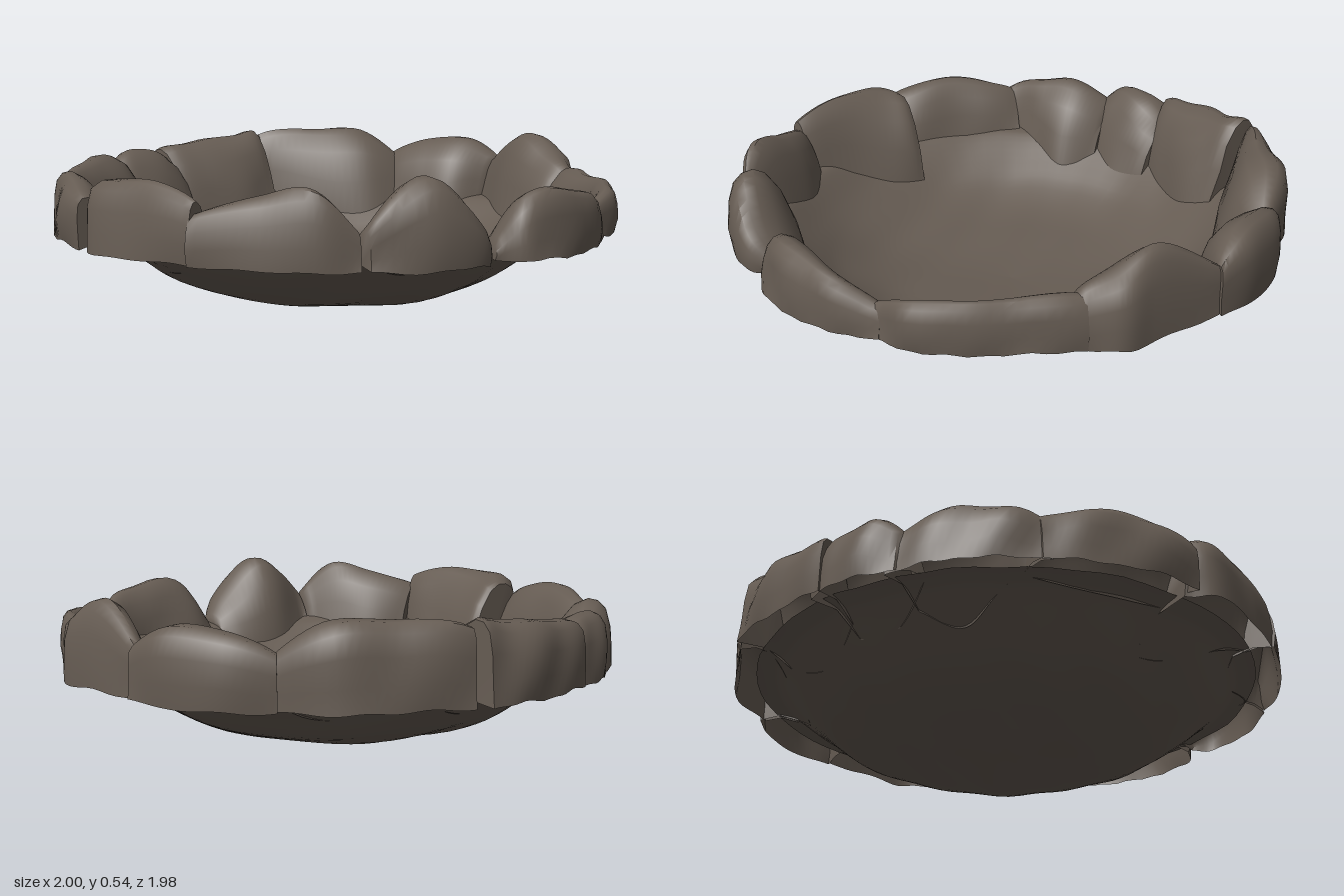
import * as THREE from 'three';
import { toCreasedNormals } from 'three/addons/utils/BufferGeometryUtils.js';

const stone = new THREE.MeshStandardMaterial({ color: 0x665c53, side: THREE.DoubleSide });
stone.name = 'brown stone';

// Bowl profile: radius, height
const RIM = 0.89;
const PROFILE = [[0, 0], [0.25, 0.014], [0.45, 0.04], [0.6, 0.098], [0.7, 0.165], [0.8, 0.243], [0.84, 0.262], [RIM, 0.27]];
function bowlY(r) {
  const i = Math.max(1, PROFILE.findIndex(([pr]) => r <= pr));
  const [r0, y0] = PROFILE[i - 1], [r1, y1] = PROFILE[i];
  return y0 + (y1 - y0) * (r - r0) / (r1 - r0);
}

// Gentle lumps that vary with position
const lump = (x, y, z) =>
  (Math.sin(11 * x + 5 * y + 1) * Math.sin(9 * z - 4 * y) + 0.6 * Math.sin(23 * x - 17 * z + 13 * y)) / 1.6;

// Sunken floor of the crater
function makeBowl() {
  const curve = new THREE.SplineCurve(PROFILE.map(([r, y]) => new THREE.Vector2(r, y)));
  const geo = new THREE.LatheGeometry(curve.getPoints(28), 72);
  const p = geo.attributes.position;
  for (let i = 0; i < p.count; i++) {
    const x = p.getX(i), z = p.getZ(i);
    const fade = Math.min(1, Math.hypot(x, z) * 3);
    p.setY(i, Math.max(0, p.getY(i) + 0.008 * fade * lump(x, 0, z)));
  }
  geo.computeVertexNormals();
  const mesh = new THREE.Mesh(geo, stone);
  mesh.name = 'craterFloor';
  return mesh;
}

// Rock section: fraction from outer to inner edge, fraction of the height
const SECTION = [[0, 0], [-0.01, 0.3], [0.02, 0.62], [0.09, 0.87], [0.21, 0.98], [0.36, 1], [0.54, 0.92], [0.73, 0.7], [0.89, 0.37], [1, 0]];

// Hollow rim rock swept between an outer edge [x, z, top height] and an inner edge [x, z]
function makeRock(outer, inner) {
  const oc = new THREE.CatmullRomCurve3(outer.map(([x, z, h]) => new THREE.Vector3(x, h, z)));
  const ic = new THREE.CatmullRomCurve3(inner.map(([x, z]) => new THREE.Vector3(x, 0, z)));
  const N = 20, K = SECTION.length;
  const pos = [], idx = [];
  for (let s = 0; s <= N; s++) {
    const o = oc.getPoint(s / N), n = ic.getPoint(s / N);
    // The inner foot always lands on the bowl
    n.multiplyScalar(Math.min(1, (RIM - 0.01) / n.length()));
    const foot = bowlY(n.length());
    const base = 0.252 + 0.008 * lump(o.x * 2, 0, o.z * 2);
    // Crests sink and narrow a little at both ends
    const end = Math.pow(Math.abs(2 * s / N - 1), 8);
    for (const [f, v] of SECTION) {
      const low = base + (foot - base) * Math.max(0, f);
      const g = f - 0.12 * end * v * f;
      const x = o.x + (n.x - o.x) * g, z = o.z + (n.z - o.z) * g;
      const y = low + (o.y - low) * v * (1 - 0.06 * end);
      const d = v > 0 ? 0.016 * lump(x, y, z) : 0, r = Math.hypot(x, z);
      pos.push(x + d * x / r, y + d * 0.5, z + d * z / r);
    }
  }
  for (let s = 0; s < N; s++) for (let k = 0; k < K - 1; k++) {
    const a = s * K + k;
    idx.push(a, a + 1, a + K, a + 1, a + K + 1, a + K);
  }
  // End caps fan out from a point resting on the bowl rim
  for (const first of [0, N * K]) {
    const c = pos.length / 3, o = first * 3, i = (first + K - 1) * 3;
    const x = (pos[o] + pos[i]) / 2, z = (pos[o + 2] + pos[i + 2]) / 2;
    pos.push(x, Math.min(0.27, bowlY(Math.min(RIM, Math.hypot(x, z)))), z);
    for (let k = first; k < first + K - 1; k++) idx.push(c, ...(first ? [k, k + 1] : [k + 1, k]));
  }
  const geo = new THREE.BufferGeometry();
  geo.setAttribute('position', new THREE.Float32BufferAttribute(pos, 3));
  geo.setIndex(idx);
  return new THREE.Mesh(toCreasedNormals(geo, 0.8), stone);
}

export function createModel() {
  const group = new THREE.Group();
  group.name = 'rockCrater';
  group.add(makeBowl());

  const rock = (name, outer, inner) => {
    const mesh = makeRock(outer, inner);
    mesh.name = name;
    group.add(mesh);
  };
  rock('leftRock',
    [[0.95, -0.23, 0.43], [0.985, 0.03, 0.54], [0.995, 0.15, 0.48], [0.93, 0.25, 0.43]],
    [[0.85, -0.23], [0.78, -0.05], [0.75, 0.14], [0.77, 0.24]]);
  rock('frontLeftRock',
    [[0.94, 0.24, 0.43], [0.84, 0.5, 0.42], [0.72, 0.69, 0.41], [0.56, 0.79, 0.37]],
    [[0.77, 0.22], [0.73, 0.47], [0.64, 0.63], [0.53, 0.72]]);
  rock('frontInnerLeftRock',
    [[0.6, 0.77, 0.36], [0.42, 0.91, 0.44], [0.14, 0.98, 0.45], [0.04, 0.9, 0.3]],
    [[0.56, 0.7], [0.36, 0.78], [0.16, 0.77], [0.05, 0.8]]);
  rock('frontRock',
    [[0.02, 0.9, 0.29], [-0.04, 0.97, 0.38], [-0.2, 0.97, 0.53], [-0.4, 0.89, 0.38]],
    [[0.0, 0.79], [-0.08, 0.74], [-0.24, 0.72], [-0.42, 0.8]]);
  rock('frontRightRock',
    [[-0.42, 0.87, 0.38], [-0.54, 0.82, 0.49], [-0.68, 0.7, 0.47], [-0.82, 0.53, 0.42]],
    [[-0.42, 0.78], [-0.49, 0.64], [-0.56, 0.54], [-0.68, 0.47]]);
  rock('rightRock',
    [[-0.81, 0.53, 0.46], [-0.9, 0.36, 0.49], [-0.98, 0.14, 0.48], [-0.92, 0.05, 0.47]],
    [[-0.72, 0.5], [-0.7, 0.32], [-0.67, 0.14], [-0.67, 0.04]]);
  rock('rightRearRock',
    [[-0.98, 0.06, 0.42], [-0.98, -0.12, 0.47], [-0.94, -0.3, 0.46], [-0.87, -0.45, 0.42]],
    [[-0.82, 0.05], [-0.8, -0.12], [-0.77, -0.27], [-0.73, -0.43]]);
  rock('backRightRock',
    [[-0.88, -0.42, 0.41], [-0.77, -0.6, 0.47], [-0.65, -0.72, 0.47], [-0.52, -0.79, 0.4]],
    [[-0.77, -0.43], [-0.63, -0.46], [-0.5, -0.49], [-0.44, -0.62]]);
  rock('backInnerRightRock',
    [[-0.56, -0.78, 0.41], [-0.45, -0.86, 0.47], [-0.34, -0.9, 0.46], [-0.25, -0.9, 0.39]],
    [[-0.55, -0.66], [-0.45, -0.64], [-0.34, -0.64], [-0.21, -0.7]]);
  rock('backRock',
    [[-0.32, -0.91, 0.47], [-0.18, -0.95, 0.48], [0.02, -0.98, 0.5], [0.14, -0.98, 0.53]],
    [[-0.23, -0.74], [-0.12, -0.72], [0.04, -0.71], [0.18, -0.75]]);
  rock('backLeftRock',
    [[0.18, -0.95, 0.51], [0.38, -0.88, 0.52], [0.56, -0.8, 0.52], [0.69, -0.63, 0.42]],
    [[0.18, -0.84], [0.33, -0.67], [0.5, -0.53], [0.64, -0.52]]);
  rock('leftRearRock',
    [[0.69, -0.65, 0.43], [0.83, -0.54, 0.48], [0.92, -0.38, 0.49], [0.96, -0.23, 0.43]],
    [[0.61, -0.53], [0.65, -0.4], [0.71, -0.29], [0.85, -0.23]]);
  return group;
}
